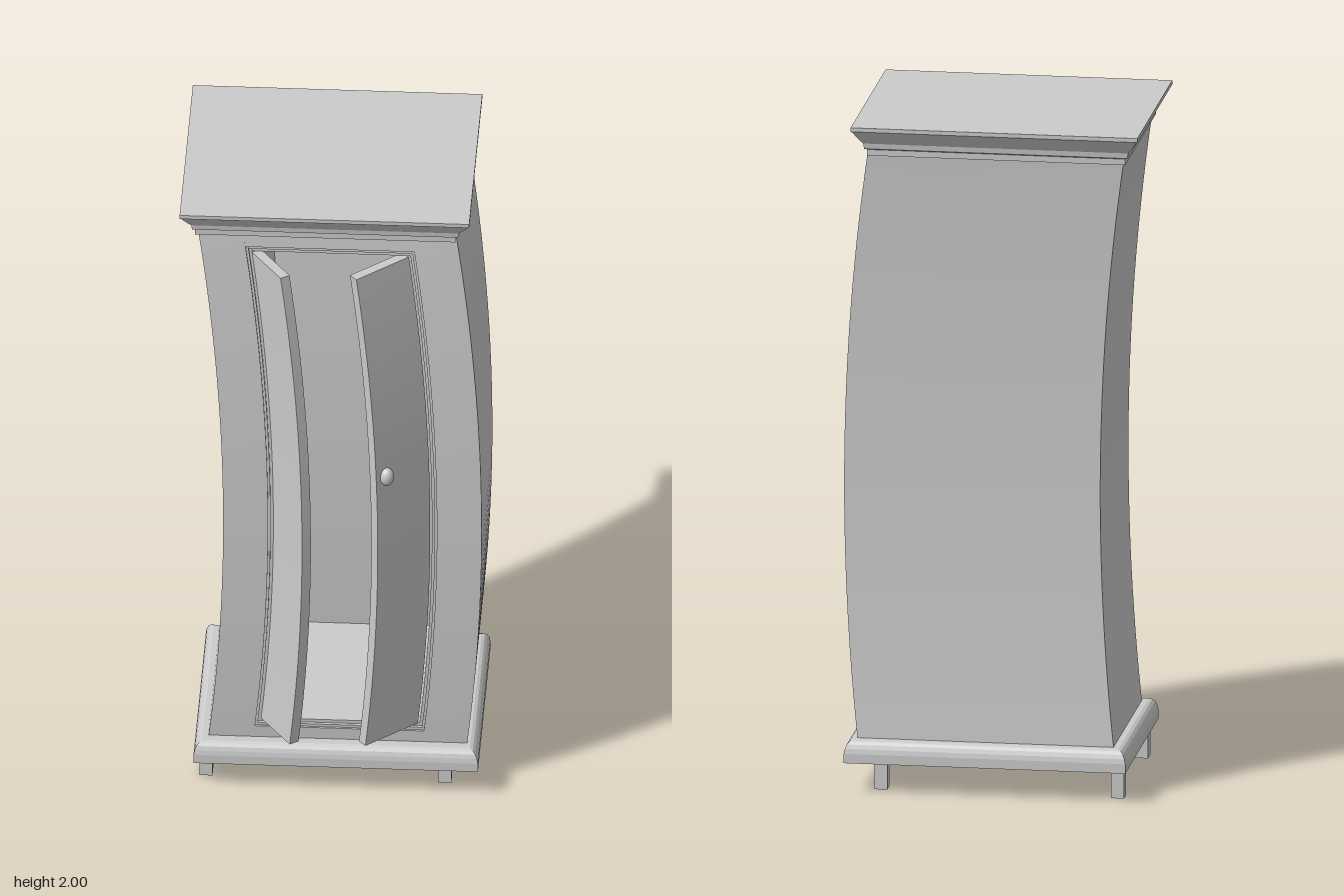
import * as THREE from 'three';
import { mergeGeometries } from 'three/addons/utils/BufferGeometryUtils.js';

const smooth = new THREE.MeshStandardMaterial({ color: 0xcccccc });
const faceted = new THREE.MeshStandardMaterial({ color: 0xcccccc, flatShading: true });

// Sway of the cabinet: sideways and forward offset at each height
function bend(geo) {
  const p = geo.attributes.position;
  for (let i = 0; i < p.count; i++) {
    const y = p.getY(i);
    p.setX(i, p.getX(i) + 0.06 - 0.075 * (y - 0.92) ** 2);
    p.setZ(i, p.getZ(i) - 0.008 - 0.04 * (y - 1.05) ** 2);
  }
  geo.computeVertexNormals();
  return geo;
}

// Box between two corners, sliced in height so it can bend
function slab(x0, x1, y0, y1, z0, z1) {
  const rows = Math.max(1, Math.round((y1 - y0) * 14));
  return new THREE.BoxGeometry(x1 - x0, y1 - y0, z1 - z0, 1, rows, 1)
    .translate((x0 + x1) / 2, (y0 + y1) / 2, (z0 + z1) / 2);
}

// Rectangular moulding; profile lists [height, inset] from bottom to top
function moulding(hx, hz, profile) {
  const n = profile.length - 1;
  const geo = new THREE.BoxGeometry(2, 1, 2, 1, n, 1);
  const p = geo.attributes.position;
  for (let i = 0; i < p.count; i++) {
    const [y, inset] = profile[Math.round((p.getY(i) + 0.5) * n)];
    p.setXYZ(i, Math.sign(p.getX(i)) * (hx - inset), y, Math.sign(p.getZ(i)) * (hz - inset));
  }
  geo.computeVertexNormals();
  return geo;
}

// Four boxes forming a rectangular surround with an opening
function surround(outer, inner, y0, y1, iy0, iy1, z0, z1) {
  return [
    slab(-outer, -inner, y0, y1, z0, z1),
    slab(inner, outer, y0, y1, z0, z1),
    slab(-inner, inner, y0, iy0, z0, z1),
    slab(-inner, inner, iy1, y1, z0, z1),
  ];
}

export function createModel() {
  const group = new THREE.Group();
  const add = (name, geo, mat = smooth) => {
    const mesh = new THREE.Mesh(geo, mat);
    mesh.name = name;
    group.add(mesh);
    return mesh;
  };

  // Hollow swaying cabinet with a closed back
  const body = [
    ...surround(0.375, 0.245, 0.13, 1.92, 0.195, 1.865, -0.245, 0.275),
    slab(-0.375, 0.375, 0.13, 1.92, -0.275, -0.245),
  ];
  add('cabinetBody', mergeGeometries(body.map(bend)));

  // Recessed trim around the doorway, in two steps
  const trim = [
    ...surround(0.245, 0.238, 0.195, 1.865, 0.204, 1.855, -0.245, 0.269),
    ...surround(0.238, 0.23, 0.204, 1.855, 0.215, 1.842, -0.245, 0.26),
  ];
  add('doorwayTrim', mergeGeometries(trim.map(bend)));

  // Doors standing open, swung on the doorway edges; side +1 is the model's left
  const door = (name, side, hingeX, width, angle) => {
    const geo = slab(side > 0 ? -width : 0, side > 0 ? 0 : width, 0.215, 1.84, -0.03, 0);
    geo.rotateY(side * angle).translate(hingeX, 0, 0.263);
    add(name, bend(geo));
  };
  door('leftDoor', 1, 0.225, 0.193, 0.72);
  door('rightDoor', -1, -0.23, 0.16, 0.97);

  // Knob on the left door
  const knob = add('doorKnob', new THREE.SphereGeometry(0.021, 20, 14));
  knob.scale.y = 1.35;
  knob.position.set(0.165, 1.16, 0.361);

  // Crown with a step and a flaring cove
  add('crown', moulding(0.42, 0.34, [
    [1.908, 0.042], [1.926, 0.042], [1.93, 0.034], [1.946, 0.032],
    [1.955, 0.025], [1.97, 0.014], [1.985, 0.004], [1.988, 0], [2, 0],
  ]), faceted).position.set(-0.02, 0, -0.05);

  // Plinth with a rounded upper edge
  add('plinth', moulding(0.4125, 0.3225, [
    [0.09, 0], [0.118, 0], [0.132, 0.003], [0.144, 0.008], [0.152, 0.015], [0.156, 0.024],
  ]), faceted).position.set(0.0125, 0, -0.0375);

  // Four short square feet
  for (const x of [-0.368, 0.325]) {
    for (const z of [0.19, -0.278]) {
      add('foot', new THREE.BoxGeometry(0.038, 0.1, 0.044)).position.set(x, 0.05, z);
    }
  }
  return group;
}
